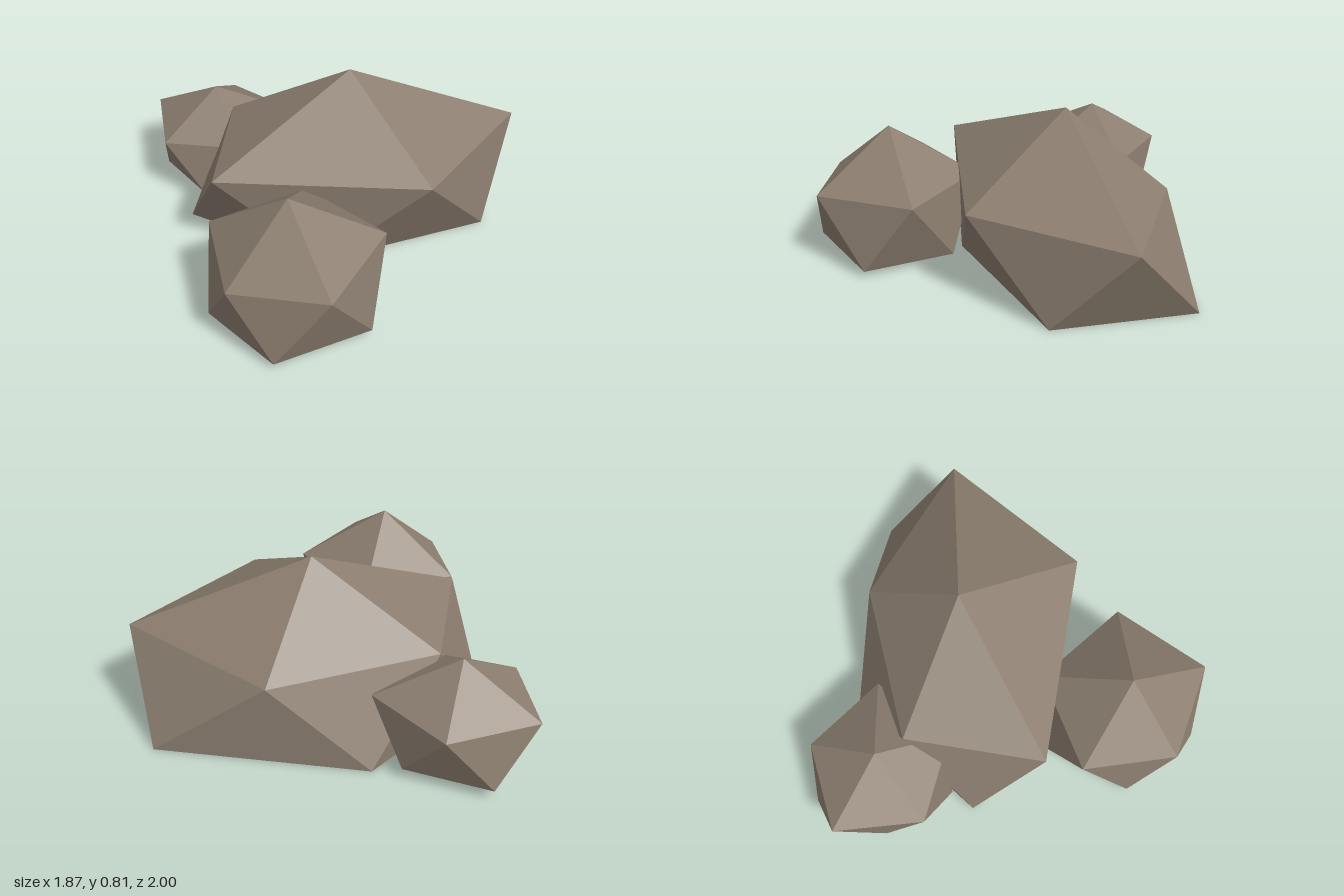
import * as THREE from 'three';

// Faceted boulder: an apex, a shoulder ring of [x, y, z], a base ring of [x, z] and a flat underside.
// Base point i sits between shoulder points i and i + 1.
function boulder(name, material, apex, shoulder, baseY, base) {
  const low = base.map(([x, z]) => [x, baseY, z]);
  const n = shoulder.length;
  const corners = [];
  const face = (...points) => points.forEach((p) => corners.push(...p));

  for (let i = 0; i < n; i++) {
    const j = (i + 1) % n;
    face(apex, shoulder[j], shoulder[i]); // crown
    face(shoulder[i], shoulder[j], low[i]); // sides
    face(shoulder[j], low[j], low[i]);
    if (i > 0 && j > 0) face(low[0], low[i], low[j]); // underside
  }

  const geometry = new THREE.BufferGeometry();
  geometry.setAttribute('position', new THREE.Float32BufferAttribute(corners, 3));
  geometry.computeVertexNormals(); // unshared corners keep every facet flat
  const mesh = new THREE.Mesh(geometry, material);
  mesh.name = name;
  return mesh;
}

export function createModel() {
  const group = new THREE.Group();
  group.name = 'rockCluster';
  const stone = new THREE.MeshStandardMaterial({ color: 0x8b7d6f });
  stone.name = 'stone';

  // Large central rock
  group.add(boulder('largeRock', stone, [0.05, 0.81, -0.21],
    [[0.93, 0.455, -0.21], [0.34, 0.47, 0.4], [-0.69, 0.47, 0.16], [-0.535, 0.46, -0.52], [0.27, 0.39, -0.68]],
    0, [[0.7, 0.12], [-0.17, 0.28], [-0.81, -0.21], [-0.21, -0.79], [0.81, -0.6]]));

  // Medium rock in front
  group.add(boulder('frontRock', stone, [-0.37, 0.66, 0.59],
    [[0.08, 0.4, 0.59], [-0.24, 0.39, 1], [-0.68, 0.35, 0.81], [-0.72, 0.38, 0.34], [-0.24, 0.39, 0.18]],
    0.035, [[-0.03, 0.83], [-0.5, 0.96], [-0.765, 0.59], [-0.51, 0.17], [-0.05, 0.36]]));

  // Small rock behind
  group.add(boulder('backRock', stone, [-0.615, 0.52, -0.65],
    [[-0.21, 0.33, -0.65], [-0.5, 0.33, -0.3], [-0.915, 0.32, -0.44], [-0.935, 0.33, -0.88], [-0.5, 0.315, -0.99]],
    0.055, [[-0.3, -0.42], [-0.73, -0.31], [-0.92, -0.65], [-0.73, -1], [-0.34, -0.84]]));

  return group;
}
